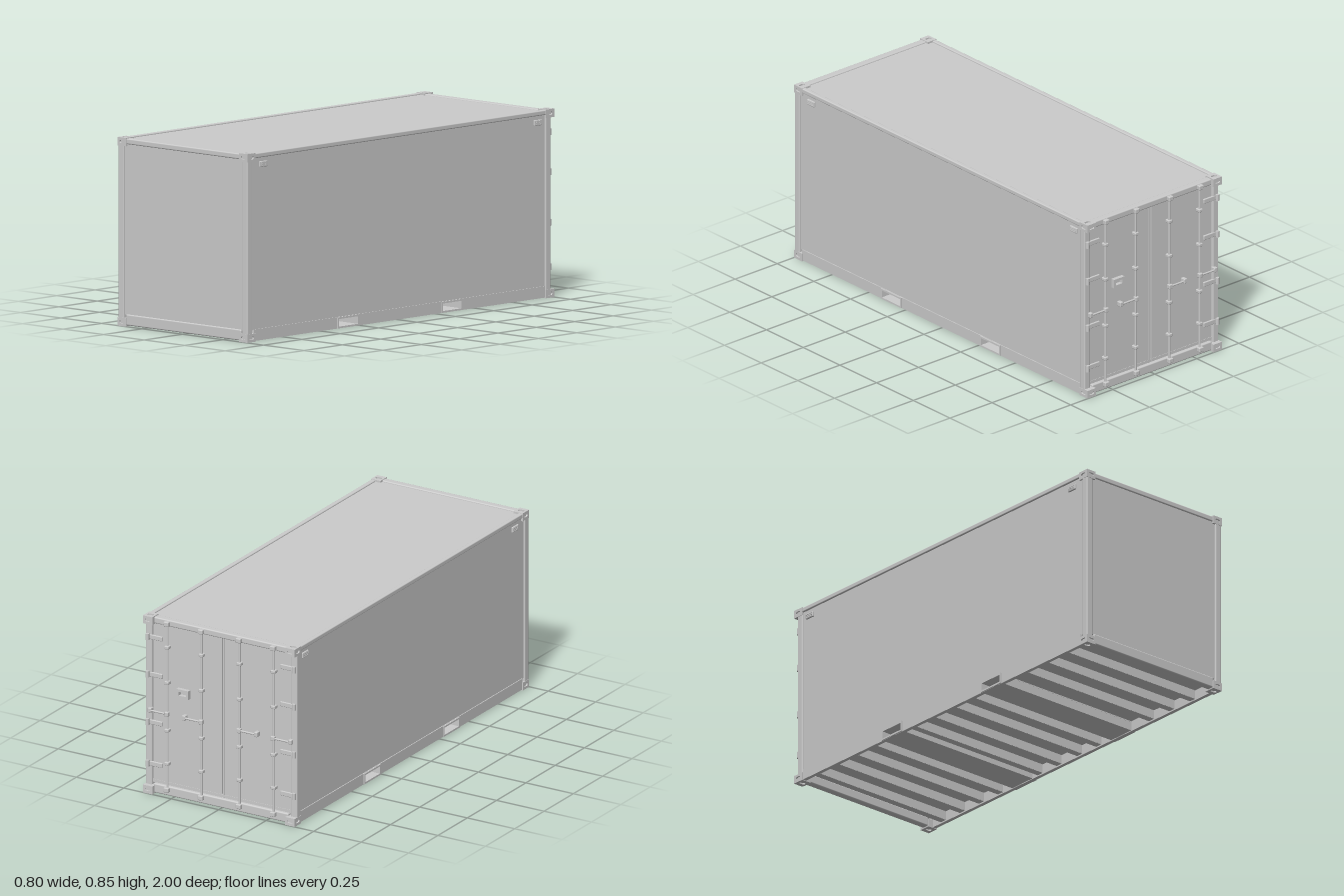
import * as THREE from 'three';
import { RoundedBoxGeometry } from 'three/addons/geometries/RoundedBoxGeometry.js';

const mat = new THREE.MeshStandardMaterial({ color: 0xcccccc, roughness: 0.7 });

const HX = 0.4, H = 0.855;

function add(parent, name, geo, x = 0, y = 0, z = 0) {
  const m = new THREE.Mesh(geo, mat);
  m.name = name;
  m.position.set(x, y, z);
  parent.add(m);
  return m;
}
const box = (p, name, w, h, d, x, y, z) => add(p, name, new THREE.BoxGeometry(w, h, d), x, y, z);
const soft = (p, name, w, h, d, x, y, z, r = 0.006) =>
  add(p, name, new RoundedBoxGeometry(w, h, d, 2, r), x, y, z);

function group(parent, name) {
  const g = new THREE.Group();
  g.name = name;
  parent.add(g);
  return g;
}

function rectPath(P, cx, cy, w, h) {
  const p = new P();
  p.moveTo(cx - w / 2, cy - h / 2);
  p.lineTo(cx + w / 2, cy - h / 2);
  p.lineTo(cx + w / 2, cy + h / 2);
  p.lineTo(cx - w / 2, cy + h / 2);
  p.closePath();
  return p;
}

// Rounded slot used for the casting openings
function slotPath(w, h) {
  const p = new THREE.Path(), r = h / 2, s = w / 2 - r;
  p.absarc(s, 0, r, -Math.PI / 2, Math.PI / 2);
  p.absarc(-s, 0, r, Math.PI / 2, Math.PI * 1.5);
  p.closePath();
  return p;
}

// Centred plate in the XY plane with holes
function plate(w, h, t, holes) {
  const s = rectPath(THREE.Shape, 0, 0, w, h);
  s.holes.push(...holes);
  const g = new THREE.ExtrudeGeometry(s, { depth: t, bevelEnabled: false, curveSegments: 6 });
  g.translate(0, 0, -t / 2);
  return g;
}

// Corner casting: solid core with slotted plates on its three outer faces
function casting(parent, sx, sy, sz) {
  const g = group(parent, 'cornerCasting');
  const w = 0.05, h = 0.038, d = 0.055, t = 0.007;
  g.position.set(sx * (HX - w / 2), sy > 0 ? H - h / 2 : h / 2 + 0.001, sz * (1 - d / 2));
  box(g, 'castingCore', w - t, h - t, d - t, -sx * t / 2, -sy * t / 2, -sz * t / 2);
  add(g, 'castingEnd', plate(w, h, t, [slotPath(0.028, 0.013)]), 0, 0, sz * (d - t) / 2);
  add(g, 'castingSide', plate(d, h, t, [slotPath(0.03, 0.015)]).rotateY(Math.PI / 2), sx * (w - t) / 2, 0, 0);
  add(g, 'castingCap', plate(w, d, t, [slotPath(0.03, 0.018)]).rotateX(Math.PI / 2), 0, sy * (h - t) / 2, 0);
}

function buildFrame(root) {
  const g = group(root, 'frame');
  for (const sx of [-1, 1]) {
    for (const sz of [-1, 1]) {
      for (const sy of [-1, 1]) casting(g, sx, sy, sz);
      soft(g, 'cornerPost', 0.034, 0.79, 0.034, sx * 0.382, H / 2, sz * (sz > 0 ? 0.981 : 0.962));
    }
    soft(g, 'topSideRail', 0.022, 0.022, 1.9, sx * 0.388, 0.842, 0, 0.005);
    // Bottom rail pierced by the two fork pockets
    const holes = [0.34, -0.335].map((z) => rectPath(THREE.Path, z, 0, 0.122, 0.034));
    add(g, 'bottomSideRail', plate(1.9, 0.052, 0.018, holes).rotateY(-Math.PI / 2), sx * 0.386, 0.03, 0);
    // Raised rim round each pocket mouth
    for (const z of [0.34, -0.335]) {
      const rim = plate(0.138, 0.05, 0.006, [rectPath(THREE.Path, 0, 0, 0.122, 0.034)]);
      add(g, 'pocketRim', rim.rotateY(-Math.PI / 2), sx * 0.397, 0.03, z);
    }
  }
  soft(g, 'frontTopRail', 0.71, 0.026, 0.034, 0, 0.839, 0.978);
  soft(g, 'frontBottomRail', 0.71, 0.05, 0.034, 0, 0.031, 0.978);
  soft(g, 'doorHeader', 0.71, 0.03, 0.034, 0, 0.836, -0.966);
  soft(g, 'doorSill', 0.71, 0.044, 0.034, 0, 0.027, -0.966);
}

function buildPanels(root) {
  const g = group(root, 'panels');
  box(g, 'frontWall', 0.74, 0.78, 0.012, 0, 0.443, 0.984);
  box(g, 'roof', 0.77, 0.01, 1.92, 0, 0.841, 0);
  box(g, 'floor', 0.77, 0.012, 1.94, 0, 0.058, 0);
  for (const sx of [-1, 1]) {
    box(g, 'sideWall', 0.01, 0.79, 1.92, sx * 0.386, 0.448, 0.005);
    // Small louvred vents near the upper corners
    for (const z of [0.89, -0.9]) {
      soft(g, 'vent', 0.01, 0.026, 0.05, sx * 0.393, 0.8, z, 0.003);
      for (let i = -1; i <= 1; i++) box(g, 'ventSlat', 0.003, 0.004, 0.038, sx * 0.3985, 0.8 + i * 0.007, z);
    }
  }
}

function buildUnderside(root) {
  const g = group(root, 'underside');
  // Channel-shaped cross members: web with top and bottom flange
  for (const z of [0.84, 0.7, 0.56, 0.2, 0.07, -0.07, -0.2, -0.47, -0.6, -0.73, -0.86]) {
    box(g, 'crossMemberWeb', 0.76, 0.042, 0.007, 0, 0.032, z);
    box(g, 'crossMemberFlange', 0.76, 0.006, 0.034, 0, 0.013, z - 0.014);
  }
  // Fork pockets running from side to side
  for (const z of [0.34, -0.335]) {
    box(g, 'forkPocketPlate', 0.765, 0.006, 0.138, 0, 0.01, z);
    box(g, 'forkPocketTop', 0.765, 0.005, 0.138, 0, 0.0495, z);
    for (const s of [-1, 1]) box(g, 'forkPocketWall', 0.765, 0.042, 0.007, 0, 0.03, z + s * 0.065);
  }
}

function buildDoors(root) {
  const g = group(root, 'doors');
  const face = -0.968, barZ = -0.984;
  const rod = (name, r, len, x, y, z, flat) => {
    const geo = new THREE.CylinderGeometry(r, r, len, 10);
    if (flat) geo.rotateZ(Math.PI / 2);
    return add(g, name, geo, x, y, z);
  };
  for (const s of [-1, 1]) {
    box(g, 'door', 0.36, 0.775, 0.016, s * 0.183, 0.435, face + 0.008);
    box(g, 'doorSeal', 0.008, 0.77, 0.005, s * 0.008, 0.435, face - 0.001);
    // Locking bars with guides, and cams at both ends
    for (const bx of [0.1, 0.28]) {
      const x = s * bx;
      rod('lockingBar', 0.0055, 0.8, x, 0.435, barZ);
      for (const y of [0.16, 0.32, 0.55, 0.72]) {
        soft(g, 'barGuide', 0.022, 0.016, 0.026, x, y, barZ + 0.002, 0.004);
      }
      for (const y of [0.035, 0.835]) soft(g, 'lockCam', 0.026, 0.022, 0.024, x, y, -0.988, 0.004);
      // Handle reaching out from each bar toward the hinge side
      const hx = s * (bx + 0.045);
      rod('doorHandle', 0.0045, 0.09, hx, 0.4, -0.99, true);
      soft(g, 'handleHub', 0.02, 0.022, 0.02, x, 0.4, -0.988, 0.004);
      soft(g, 'handleCatch', 0.018, 0.024, 0.026, s * (bx + 0.09), 0.4, -0.982, 0.004);
    }
    // Hinges tying each door to its corner post
    for (const y of [0.14, 0.34, 0.57, 0.75]) {
      soft(g, 'hingeStrap', 0.07, 0.022, 0.01, s * 0.345, y, face - 0.008, 0.003);
      rod('hingePin', 0.009, 0.03, s * 0.386, y, -0.984);
    }
  }
  // Lock box with an open front
  const hole = rectPath(THREE.Path, 0, 0, 0.038, 0.018);
  add(g, 'lockBox', plate(0.062, 0.042, 0.02, [hole]), 0.2, 0.51, face - 0.009);
}

export function createModel() {
  const root = new THREE.Group();
  root.name = 'cargoContainer';
  buildFrame(root);
  buildPanels(root);
  buildUnderside(root);
  buildDoors(root);
  return root;
}
